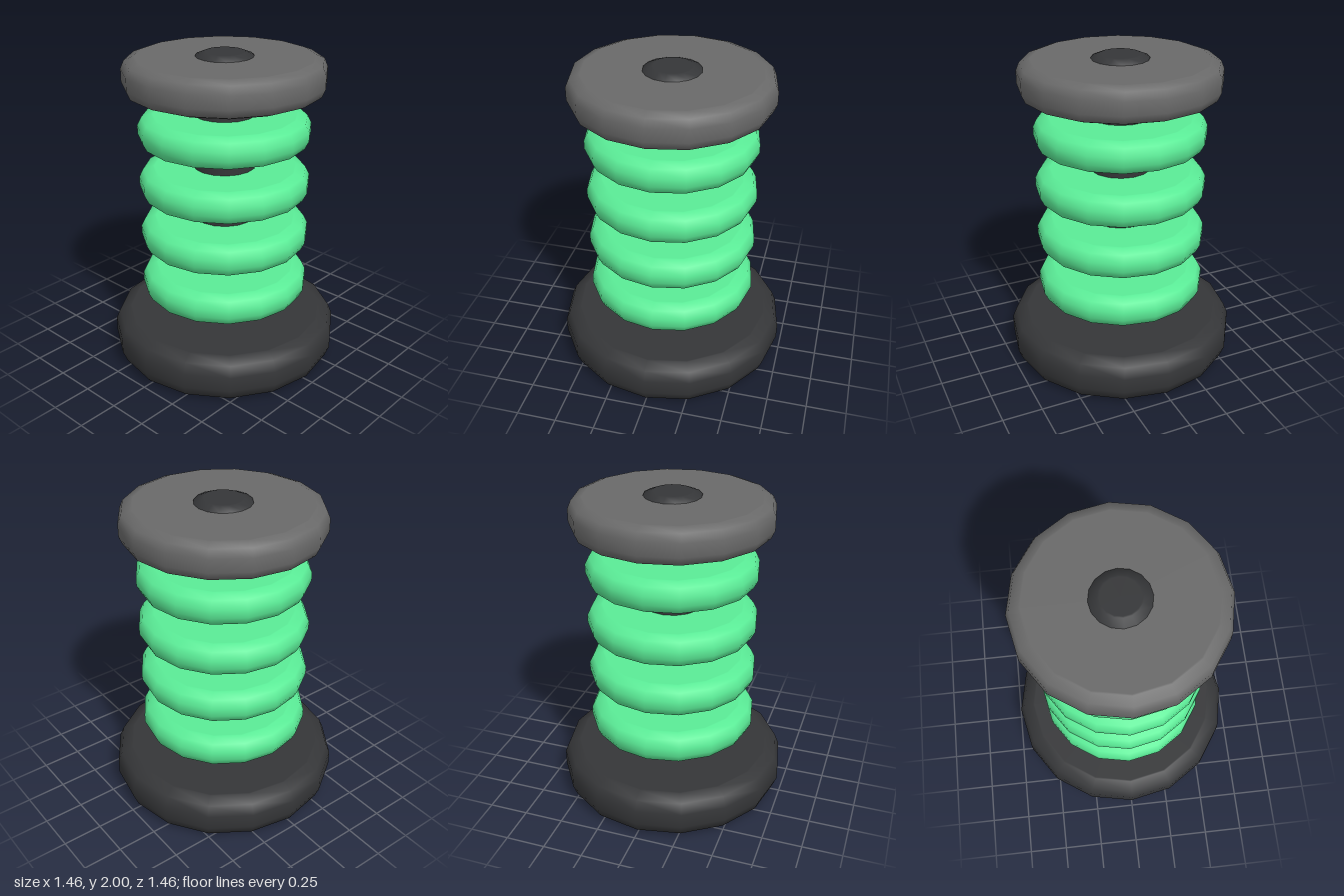
import * as THREE from 'three';

const SIDES = 16;
const dark = new THREE.MeshStandardMaterial({ color: 0x353638 });
const grey = new THREE.MeshStandardMaterial({ color: 0x696969 });
const green = new THREE.MeshStandardMaterial({ color: 0x5aeb96 });

// Solid disc from y0 to y1 with rounded rims (bevel bx wide, by high)
function disc(name, radius, y0, y1, bx, by, material) {
  const k = 0.29;
  const rim = [
    [0, 0],
    [radius - bx - 0.01, 0], // keeps the flat face flat-shaded
    [radius - bx, 0],
    [radius - bx * k, by * k],
    [radius, by],
  ];
  const points = [
    ...rim.map(([r, h]) => new THREE.Vector2(r, y0 + h)),
    ...rim.slice().reverse().map(([r, h]) => new THREE.Vector2(r, y1 - h)),
  ];
  const mesh = new THREE.Mesh(new THREE.LatheGeometry(points, SIDES), material);
  mesh.name = name;
  return mesh;
}

export function createModel() {
  const model = new THREE.Group();
  model.name = 'ringedColumn';

  // Wide foot, central post and top plate
  model.add(disc('base', 0.73, 0, 0.285, 0.095, 0.095, dark));
  model.add(disc('post', 0.195, 0.27, 2, 0.07, 0.07, dark));
  model.add(disc('topPlate', 0.62, 1.755, 1.975, 0.075, 0.07, grey));

  // Four evenly spaced rings around the post
  for (let i = 0; i < 4; i++) {
    const y = 0.415 + i * 0.338;
    model.add(disc(`ring${i + 1}`, 0.535, y, y + 0.193, 0.085, 0.07, green));
  }
  return model;
}
